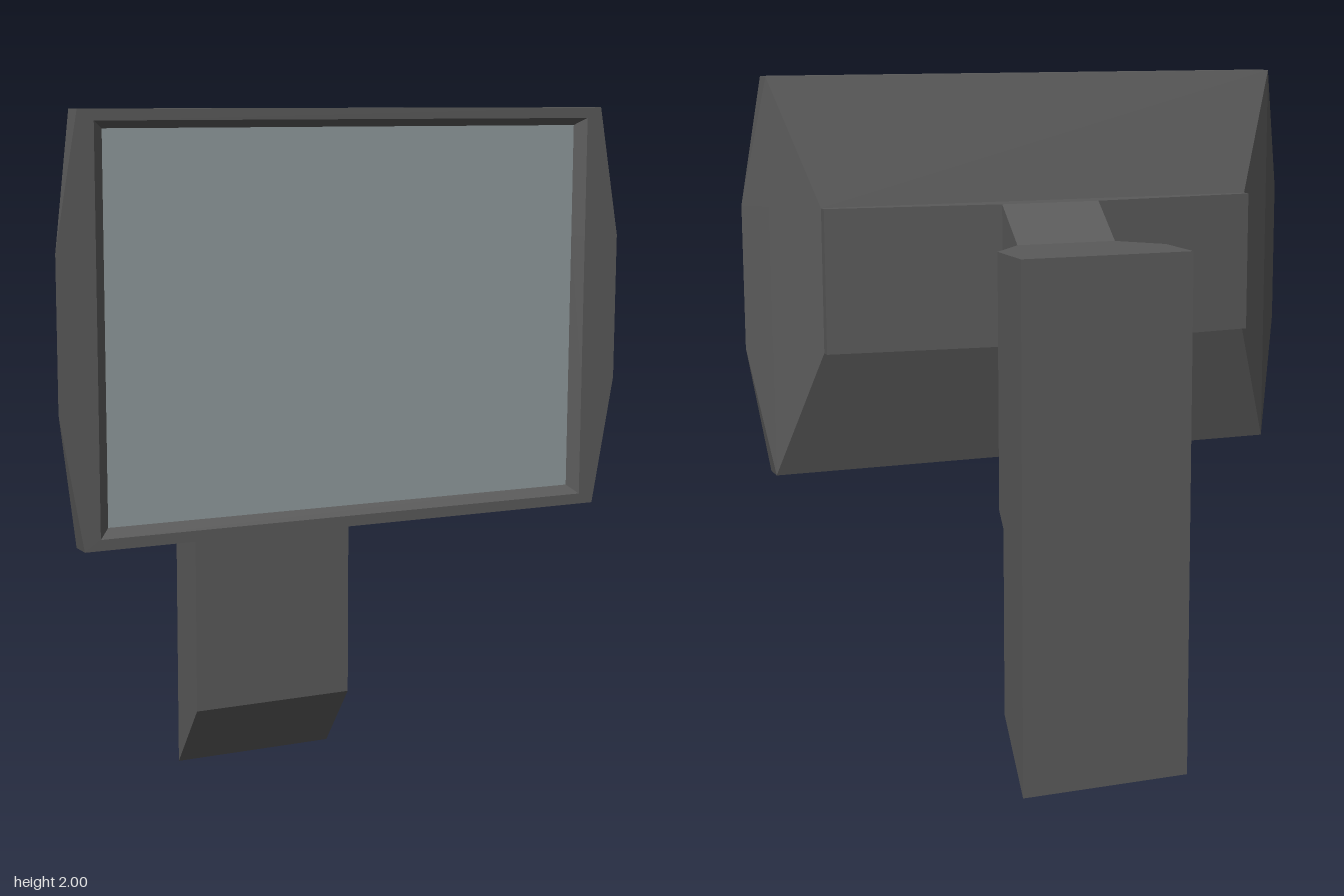
import * as THREE from 'three';

const MID_LOW = 1.22, MID_HIGH = 1.635;

// Skin a list of equal-length loops ordered back to front, each running
// counterclockwise seen from the front. Flat-faced.
function loft(loops, flip = () => false) {
  const pos = [];
  for (let i = 0; i < loops.length - 1; i++) {
    const n = loops[i].length;
    for (let j = 0; j < n; j++) {
      const k = (j + 1) % n;
      const a = loops[i][j], b = loops[i][k], c = loops[i + 1][k], d = loops[i + 1][j];
      const tris = flip(j) ? [a, b, d, b, c, d] : [a, b, c, a, c, d];
      for (const p of tris) pos.push(...p);
    }
  }
  const geometry = new THREE.BufferGeometry();
  geometry.setAttribute('position', new THREE.Float32BufferAttribute(pos, 3));
  geometry.computeVertexNormals();
  return geometry;
}

// Rectangular section: half width, bottom, top, depth
const rect = (w, b, t, z) => [[w, b, z], [w, t, z], [-w, t, z], [-w, b, z]];

// Eight-point section whose sides may bulge to half width m at mid height
const octagon = (w, b, t, z, m = w) => {
  const right = [[w, b, z], [m, MID_LOW, z], [m, MID_HIGH, z], [w, t, z]];
  return [...right, ...right.map(([x, y]) => [-x, y, z]).reverse()];
};

function addMesh(group, name, geometry, color) {
  const material = new THREE.MeshStandardMaterial({ color, flatShading: true });
  const mesh = new THREE.Mesh(geometry, material);
  mesh.name = name;
  group.add(mesh);
  return mesh;
}

export function createModel() {
  const model = new THREE.Group();
  model.name = 'displayOnStand';
  const casing = 0x5a5a5a;

  // Upright column with slanted foot, chamfered shoulders and tapering neck
  addMesh(model, 'standAndNeck', loft([
    rect(0, 0.8, 0.8, -0.34), // closes the back
    rect(0.255, 0, 1.53, -0.34),
    rect(0.255, 0.2, 1.53, -0.19),
    rect(0.255, 0.75, 1.53, -0.19),
    rect(0.255, 0.796, 1.53, -0.155),
    rect(0.15, 0.96, 1.53, -0.03),
    rect(0.15, MID_LOW, MID_HIGH, 0.095),
  ]), casing);

  // Housing: shallow back wedge, flared shell, front frame and bezel bevel
  addMesh(model, 'screenHousing', loft([
    octagon(0.15, MID_LOW, MID_HIGH, 0.095),
    octagon(0.665, MID_LOW, MID_HIGH, 0.145),
    octagon(0.665, MID_LOW, MID_HIGH, 0.175),
    octagon(0.79, 0.85, 2, 0.275),
    octagon(0.79, 0.85, 2, 0.34, 0.855),
    octagon(0.745, 0.88, 1.97, 0.34),
    octagon(0.715, 0.905, 1.95, 0.315),
  ], (j) => j % 4 === 2), casing);

  // Recessed display panel
  const screen = addMesh(model, 'screen', new THREE.PlaneGeometry(1.43, 1.045), 0x8f9a9c);
  screen.position.set(0, 1.4275, 0.315);

  return model;
}
